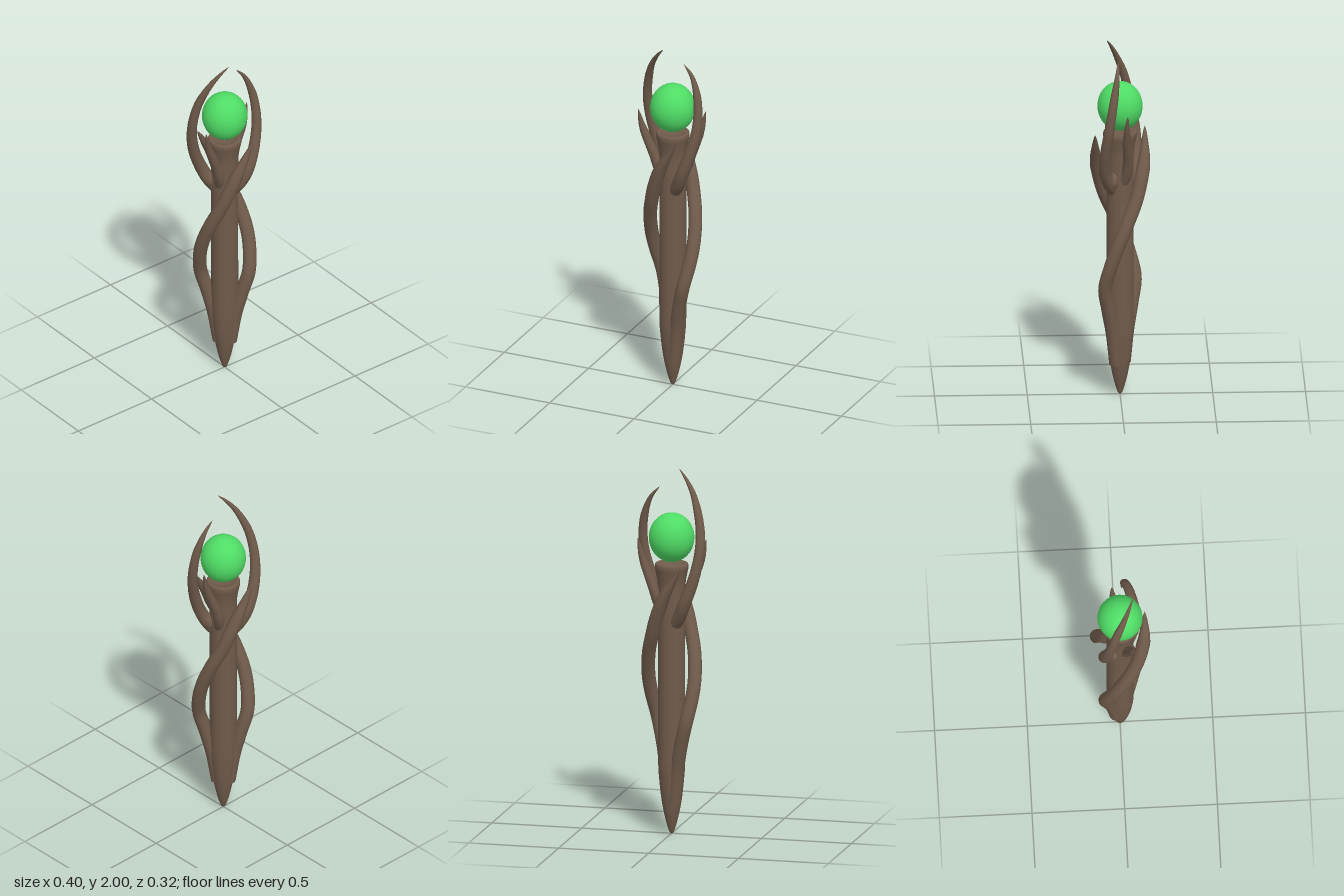
import * as THREE from 'three';

const wood = new THREE.MeshStandardMaterial({ color: 0x705b4b });
wood.name = 'brown wood';
const glow = new THREE.MeshStandardMaterial({ color: 0x4fdc65 });
glow.name = 'green orb';

// Tube along a curve whose radius follows a rule: rings are scaled about the path
function taperedTube(points, radiusAt, name) {
  const curve = new THREE.CatmullRomCurve3(points.map(p => new THREE.Vector3(...p)));
  const rings = 72, sides = 18;
  const geo = new THREE.TubeGeometry(curve, rings, 1, sides, false);
  const pos = geo.attributes.position, v = new THREE.Vector3();
  for (let i = 0; i <= rings; i++) {
    const c = curve.getPointAt(i / rings), r = radiusAt(i / rings);
    for (let j = 0; j <= sides; j++) {
      const k = i * (sides + 1) + j;
      v.fromBufferAttribute(pos, k).sub(c).multiplyScalar(r).add(c);
      pos.setXYZ(k, v.x, v.y, v.z);
    }
  }
  const mesh = new THREE.Mesh(geo, wood);
  mesh.name = name;
  return mesh;
}

// Radius that narrows from base to shoulder, then closes to a rounded point
const taper = (base, shoulder, start) => t => {
  const r = THREE.MathUtils.lerp(base, shoulder, Math.min(t / start, 1));
  const u = Math.max(0, (t - start) / (1 - start));
  return Math.max(0.0005, r * Math.pow(1 - u, 0.7));
};

export function createModel() {
  const group = new THREE.Group();

  // Shaft: pointed foot, straight body, flared cup at the top
  const profile = new THREE.SplineCurve([
    [0.001, 0], [0.014, 0.015], [0.036, 0.09], [0.055, 0.19], [0.068, 0.31], [0.073, 0.42],
    [0.073, 0.8], [0.073, 1.2], [0.074, 1.36], [0.083, 1.43], [0.091, 1.47],
    [0.088, 1.492], [0.075, 1.495], [0.05, 1.485], [0.001, 1.475],
  ].map(p => new THREE.Vector2(...p))).getPoints(90);
  profile.forEach(p => { p.x = Math.max(p.x, 0); p.y = Math.max(p.y, 0); });
  const shaft = new THREE.Mesh(new THREE.LatheGeometry(profile, 36), wood);
  shaft.name = 'shaft';
  group.add(shaft);

  // Orb
  const orb = new THREE.Mesh(new THREE.SphereGeometry(1, 40, 28), glow);
  orb.scale.set(0.123, 0.135, 0.122);
  orb.position.y = 1.636;
  orb.name = 'orb';
  group.add(orb);

  // Two twisting vines, half a turn apart
  const vine = [
    [0.02, 0.18, 0.022], [0.042, 0.36, 0.042], [0.068, 0.5, 0.066], [0.1, 0.63, 0.084],
    [0.126, 0.76, 0.055], [0.133, 0.87, 0.018], [0.118, 1.0, -0.035], [0.088, 1.11, -0.08],
    [0.058, 1.21, -0.108], [0.01, 1.33, -0.13], [-0.04, 1.42, -0.135], [-0.08, 1.495, -0.137],
  ];
  for (const s of [1, -1]) {
    group.add(taperedTube(vine.map(([x, y, z]) => [s * x, y, s * z]),
      t => taper(0.037, 0.037, 0.84)(t), s > 0 ? 'leftVine' : 'rightVine'));
  }

  // Long claws curling over the orb
  group.add(taperedTube([
    [0.03, 1.17, 0.035], [0.062, 1.22, 0.062], [0.092, 1.29, 0.082], [0.132, 1.4, 0.082],
    [0.165, 1.53, 0.066], [0.172, 1.64, 0.05], [0.158, 1.75, 0.033], [0.12, 1.85, 0.018],
    [0.07, 1.91, 0.012],
  ], taper(0.038, 0.022, 0.75), 'leftLongClaw'));
  group.add(taperedTube([
    [-0.03, 1.17, -0.035], [-0.062, 1.22, -0.062], [-0.092, 1.29, -0.085], [-0.138, 1.41, -0.088],
    [-0.168, 1.54, -0.073], [-0.173, 1.66, -0.05], [-0.155, 1.77, -0.025], [-0.115, 1.88, 0.015],
    [-0.07, 1.95, 0.045], [-0.025, 2.0, 0.07],
  ], taper(0.038, 0.022, 0.72), 'rightLongClaw'));

  // Short claws
  group.add(taperedTube([
    [0.035, 1.2, -0.01], [0.065, 1.28, -0.035], [0.092, 1.36, -0.04], [0.128, 1.45, -0.034],
    [0.16, 1.54, -0.032], [0.179, 1.63, -0.036],
  ], taper(0.032, 0.023, 0.68), 'leftShortClaw'));
  group.add(taperedTube([
    [-0.035, 1.2, 0.01], [-0.065, 1.28, 0.035], [-0.092, 1.36, 0.043], [-0.128, 1.45, 0.05],
    [-0.158, 1.53, 0.056], [-0.176, 1.62, 0.063],
  ], taper(0.032, 0.023, 0.68), 'rightShortClaw'));

  // Knots where the claws leave the shaft
  for (const s of [1, -1]) {
    const knot = new THREE.Mesh(new THREE.SphereGeometry(1, 20, 14), wood);
    knot.scale.set(0.036, 0.05, 0.036);
    knot.position.set(s * 0.058, 1.225, s * 0.045);
    knot.name = s > 0 ? 'leftKnot' : 'rightKnot';
    group.add(knot);
  }
  return group;
}
